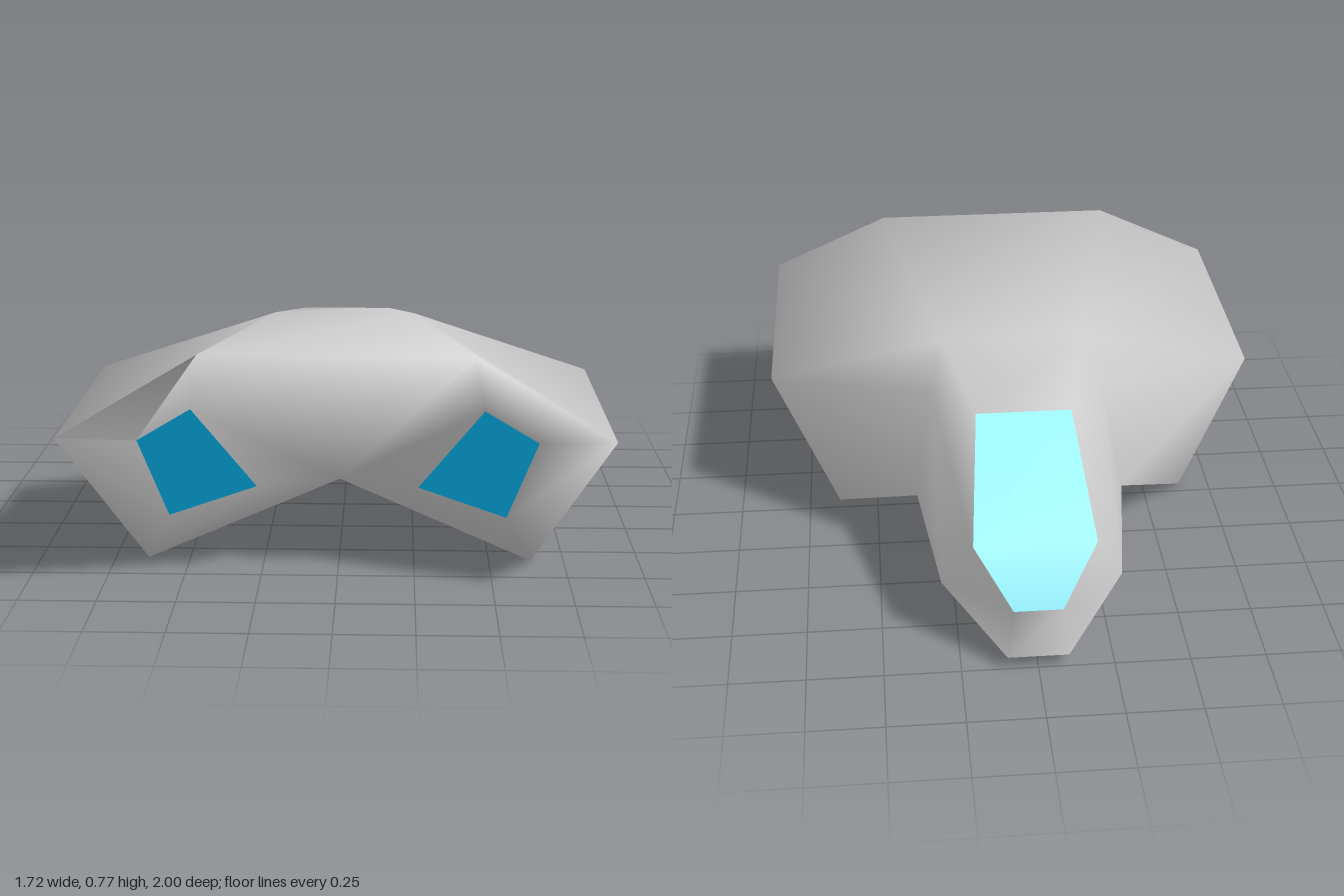
import * as THREE from 'three';

// Corner points of the model's left half (+x); the other half is mirrored
const P = {
  A: [0.43, 0.77, 0.89], B: [0.86, 0.53, 1.0], C: [0.64, 0, 0.59], D: [0, 0.25, 0.49], // front rim
  E: [0.86, 0.53, 0.05], F: [0.64, 0, 0.05],                                           // wing rear
  G: [0.25, 0.71, -0.05], H: [0.3, 0.58, -0.19], I: [0.36, 0.25, -0.33],               // nose root
  J: [0.16, 0.645, -0.46], K: [0.3, 0.19, -0.77], L: [0.2, 0.4, -0.88],                // nose
  M: [0.08, 0.22, -0.99], N: [0.1, 0.045, -1.0],                                       // nose tip
  a: [0.47, 0.56, 0.755], b: [0.645, 0.455, 0.755], c: [0.545, 0.205, 0.755], d: [0.26, 0.305, 0.755], // engine
};

// Welded surface from polygons: `sides` are mirrored, `centre` ones span the middle.
// Each polygon is split into a fan from its first corner.
// Centre polygons list their corners with spaces; a "-" marks the mirrored corner.
function surface(sides, centre) {
  const positions = [], index = [], ids = new Map();
  const vertex = (name, flip) => {
    const [x, y, z] = P[name];
    const key = name + (flip && x !== 0 ? '-' : '');
    if (!ids.has(key)) {
      ids.set(key, ids.size);
      positions.push(flip ? -x : x, y, z);
    }
    return ids.get(key);
  };
  const polygon = (corners) => {
    for (let i = 1; i < corners.length - 1; i++) index.push(corners[0], corners[i], corners[i + 1]);
  };
  for (const face of sides) {
    const [first, ...rest] = face;
    polygon([...face].map((n) => vertex(n, false)));
    polygon([first, ...rest.reverse()].map((n) => vertex(n, true)));
  }
  for (const face of centre) {
    polygon(face.split(' ').map((n) => vertex(n[0], n.length > 1)));
  }
  const geometry = new THREE.BufferGeometry();
  geometry.setAttribute('position', new THREE.Float32BufferAttribute(positions, 3));
  geometry.setIndex(index);
  geometry.computeVertexNormals();
  return geometry;
}

export function createModel() {
  const model = new THREE.Group();
  const add = (name, color, sides, centre) => {
    const material = new THREE.MeshStandardMaterial({ color });
    const mesh = new THREE.Mesh(surface(sides, centre), material);
    mesh.name = name;
    model.add(mesh);
  };

  add('hull', 0xcccccc, [
    'BEGA', 'GEH', 'BCFE', 'EFIH',         // wings
    'GHJ', 'HIK', 'HKLJ', 'KNML',          // nose flanks
    'AabB', 'BbcC', 'CcdD', 'DdaA',        // engine recesses
  ], [
    'A- A G G-', 'G- G J J-',              // back and nose top
    'A- D A', 'N N- M- M',                 // front middle, nose tip
  ]);

  // Underside, with a sharp edge against the hull
  add('belly', 0xcccccc, ['IFCD', 'NKI'], ['I- I D', 'N- N I I-']);

  add('canopy', 0x90f0ff, [], ['J- J L L-', 'L- L M M-']);
  add('engineGlow', 0x0099cc, ['adcb'], []);

  return model;
}
